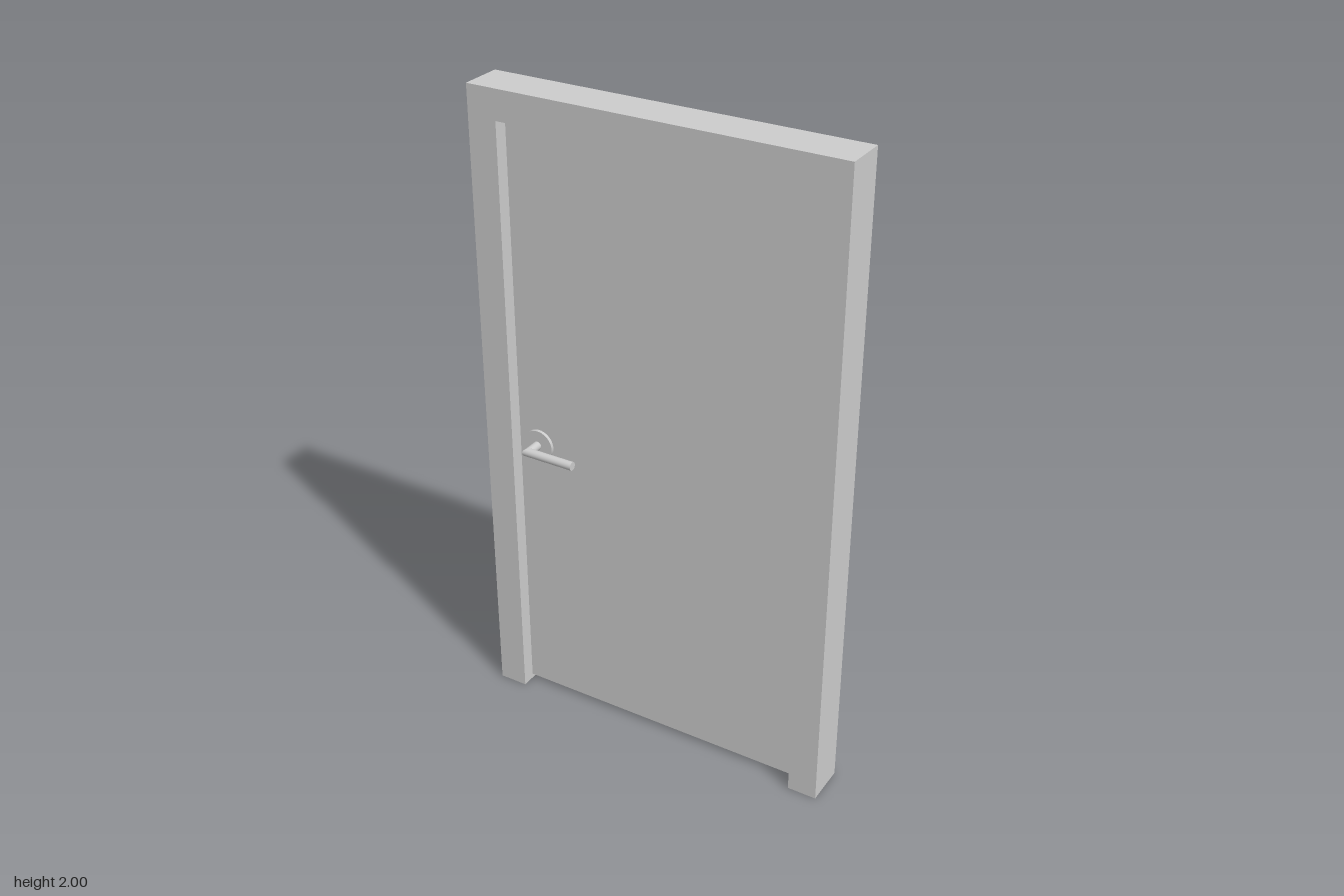
import * as THREE from 'three';

const grey = new THREE.MeshStandardMaterial({ color: 0xcccccc });
grey.name = 'grey';

const W = 0.571, H = 2, FRAME_DEPTH = 0.132;        // outer frame
const OPEN_W = 0.48, OPEN_H = 1.91;                 // opening
const LEAF_DEPTH = 0.046, LEAF_GAP = 0.015;         // door leaf
const R = 0.0135, ELBOW_X = -0.413, ELBOW_Z = 0.08, LEVER_END = -0.257;

function part(name, geometry, x = 0, y = 0, z = 0) {
  const mesh = new THREE.Mesh(geometry, grey);
  mesh.name = name;
  mesh.position.set(x, y, z);
  return mesh;
}

// Cut one end of a rod on the 45 degree plane x + z = 0 through the elbow
function mitre(geometry, axis) {
  const p = geometry.attributes.position;
  for (let i = 0; i < p.count; i++) {
    if (axis === 'x' && Math.abs(p.getX(i)) < 1e-5) p.setX(i, -p.getZ(i));
    if (axis === 'z' && Math.abs(p.getZ(i)) < 1e-5) p.setZ(i, -p.getX(i));
  }
  return geometry;
}

// Lever handle on a round rose, facing +z
function makeHandle(name) {
  const handle = new THREE.Group();
  handle.name = name;

  const rose = new THREE.CylinderGeometry(0.049, 0.049, 0.01, 40).rotateX(Math.PI / 2);
  handle.add(part('rose', rose, -0.411, 0, LEAF_DEPTH / 2 + 0.005));

  const stemLength = ELBOW_Z - LEAF_DEPTH / 2;
  const stem = new THREE.CylinderGeometry(R, R, stemLength, 24, 1, true)
    .rotateX(Math.PI / 2).translate(0, 0, -stemLength / 2);
  handle.add(part('stem', mitre(stem, 'z'), ELBOW_X, 0, ELBOW_Z));

  const leverLength = LEVER_END - ELBOW_X;
  const lever = new THREE.CylinderGeometry(R, R, leverLength, 24)
    .rotateZ(-Math.PI / 2).translate(leverLength / 2, 0, 0);
  handle.add(part('lever', mitre(lever, 'x'), ELBOW_X, 0, ELBOW_Z));

  handle.position.y = 0.907;
  return handle;
}

export function createModel() {
  const model = new THREE.Group();
  model.name = 'door';

  // Frame: two jambs and a head in one piece
  const outline = new THREE.Shape([
    [-W, 0], [-OPEN_W, 0], [-OPEN_W, OPEN_H], [OPEN_W, OPEN_H],
    [OPEN_W, 0], [W, 0], [W, H], [-W, H],
  ].map(([x, y]) => new THREE.Vector2(x, y)));
  const frame = new THREE.ExtrudeGeometry(outline, { depth: FRAME_DEPTH, bevelEnabled: false });
  model.add(part('frame', frame, 0, 0, -FRAME_DEPTH / 2));

  // Door leaf, recessed on both sides
  const leafHeight = OPEN_H - LEAF_GAP;
  const leaf = new THREE.BoxGeometry(OPEN_W * 2, leafHeight, LEAF_DEPTH);
  model.add(part('leaf', leaf, 0, LEAF_GAP + leafHeight / 2, 0));

  // Handles on both faces
  model.add(makeHandle('frontHandle'));
  const back = makeHandle('backHandle');
  back.rotation.x = Math.PI;
  model.add(back);

  return model;
}
